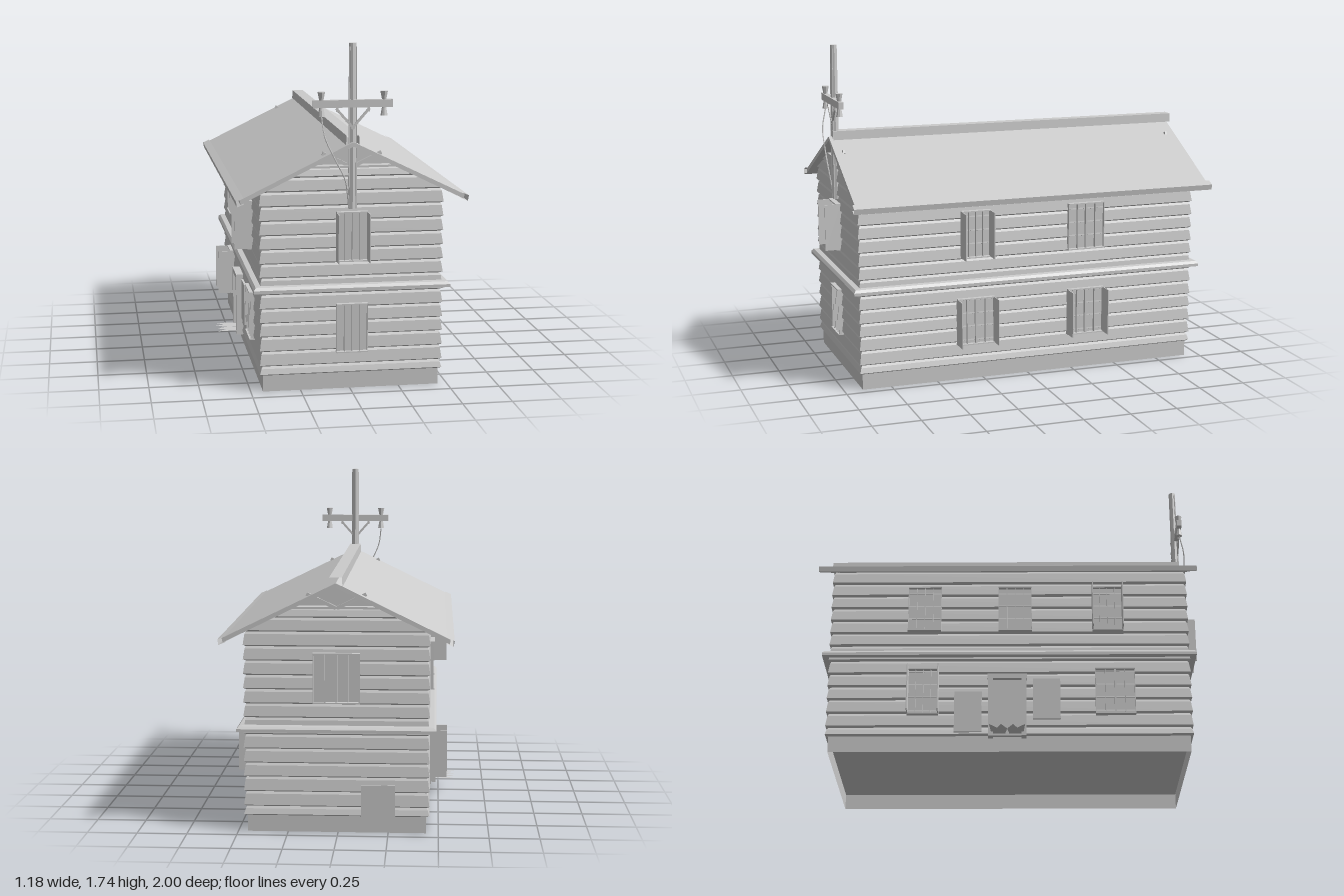
import * as THREE from 'three';

const CX = 0.007, CZ = -0.01;          // centre of the house plan
const HX = 0.448, HZ = 0.916;          // half sizes of the wall core
const ROOF_UNDER = 1.235, SLOPE = 0.488;
const mat = new THREE.MeshStandardMaterial({ color: 0xcccccc, flatShading: true, side: THREE.DoubleSide });

function add(parent, name, geometry, x = 0, y = 0, z = 0) {
  const mesh = new THREE.Mesh(geometry, mat);
  mesh.name = name;
  mesh.position.set(x, y, z);
  parent.add(mesh);
  return mesh;
}
const box = (parent, name, w, h, d, x, y, z) => add(parent, name, new THREE.BoxGeometry(w, h, d), x, y, z);

// Skin between successive rings of [x, y, z] points
function loft(rings, closed) {
  const n = rings[0].length, pos = rings.flat(2), idx = [];
  for (let r = 0; r < rings.length - 1; r++) {
    for (let i = 0; i < (closed ? n : n - 1); i++) {
      const a = r * n + i, b = r * n + (i + 1) % n;
      idx.push(a, b, b + n, a, b + n, a + n);
    }
  }
  const g = new THREE.BufferGeometry();
  g.setAttribute('position', new THREE.Float32BufferAttribute(pos, 3));
  g.setIndex(idx);
  const flat = g.toNonIndexed();
  flat.computeVertexNormals();
  return flat;
}

// Rectangular ring around the house at height y, pushed outward
const ring = (y, out) => [[1, 1], [1, -1], [-1, -1], [-1, 1]]
  .map(([sx, sz]) => [CX + sx * (HX + out), y, CZ + sz * (HZ + out)]).reverse();

// Outline of one overlapping board: drip edge, face, shallow groove
const board = (y0, y1) => [[y0, 0], [y0 + 0.008, 0.014], [y1 - 0.012, 0.006], [y1, 0]];

function addWalls(house) {
  add(house, 'foundation', loft([ring(0, -0.002), ring(0.083, -0.002)], true));
  box(house, 'floor', 2 * HX - 0.006, 0.004, 2 * HZ - 0.006, CX, 0.083, CZ);
  const heights = [0.083, 0.13, 0.205, 0.28, 0.35, 0.422, 0.495, 0.58, 0.65, 0.722, 0.793, 0.865, 0.937, 1.01];
  const rows = [];
  for (let i = 0; i < heights.length - 1; i++) rows.push(...board(heights[i], heights[i + 1]));
  add(house, 'sidingBoards', loft(rows.map(([y, o]) => ring(y, o)), true));
  add(house, 'beltTrim', loft([ring(0.513, 0), ring(0.513, 0.046), ring(0.528, 0.046), ring(0.541, 0.035), ring(0.545, 0)], true));

  // Gable boards narrow with the roof, with a braced opening at the peak
  for (const s of [1, -1]) {
    const gable = new THREE.Group();
    gable.name = s > 0 ? 'frontGable' : 'backGable';
    gable.position.set(CX, 0, CZ);
    gable.rotation.y = s > 0 ? 0 : Math.PI;
    house.add(gable);
    const profile = [...board(1.01, 1.08), ...board(1.08, 1.13)];
    add(gable, 'gableBoards', loft(profile.map(([y, o]) => {
      const w = Math.min(HX + o, (ROOF_UNDER - y) / SLOPE);
      return [[-w, y, HZ + o], [w, y, HZ + o]];
    })));
    const w = (ROOF_UNDER - 1.125) / SLOPE;
    const peak = new THREE.Shape([[-w, 1.125], [w, 1.125], [0, ROOF_UNDER]].map(p => new THREE.Vector2(...p)));
    add(gable, 'gableOpening', new THREE.ShapeGeometry(peak), 0, 0, HZ - 0.04);
    box(gable, 'gableSill', 2 * w, 0.01, 0.05, 0, 1.13, HZ - 0.015);
    for (const k of [1, -1]) {
      const brace = box(gable, 'gableBrace', 0.16, 0.018, 0.012, k * 0.075, 1.163, HZ);
      brace.rotation.z = k * 0.45;
    }
  }
}

function addRoof(house) {
  const pts = [[0, 1.257], [0.56, 0.984], [0.555, 0.962], [0, ROOF_UNDER], [-0.555, 0.962], [-0.56, 0.984]];
  const shape = new THREE.Shape(pts.map(p => new THREE.Vector2(...p)));
  add(house, 'roof', new THREE.ExtrudeGeometry(shape, { depth: 1.935, bevelEnabled: false }), CX, 0, -0.982);
  // Thin folded caps on the ridge and the eaves
  const cap = (name, profile, z0, z1) =>
    add(house, name, loft([z0, z1].map(z => profile.map(([x, y]) => [CX + x, y, z]))));
  cap('ridgeCap', [[-0.034, 1.24], [-0.031, 1.287], [0.031, 1.287], [0.034, 1.24]], -1, 0.935);
  for (const s of [1, -1]) {
    cap('eaveTrim', [[s * 0.542, 0.996], [s * 0.579, 0.98], [s * 0.574, 0.952], [s * 0.54, 0.966]], -1, 0.965);
  }
}

// Window built facing +z: panel, thin frame, upright slats, optional open shutters
function addWindow(house, x, y, z, turn, w, open = 0) {
  const h = 0.245, g = new THREE.Group();
  g.name = open ? 'shutteredWindow' : 'barredWindow';
  g.position.set(x, y, z);
  g.rotation.y = turn;
  house.add(g);
  box(g, 'panel', w, h, 0.02, 0, 0, -0.005);
  for (const s of [1, -1]) box(g, s > 0 ? 'header' : 'sill', w + 0.004, 0.006, 0.03, 0, s * h / 2, 0.012);
  for (let i = 0; i < 5; i++) {
    box(g, 'slat', i === 2 && w > 0.18 ? 0.01 : 0.003, h, 0.022, (i / 4 - 0.5) * w, 0, 0.01);
  }
  if (open) for (const s of [1, -1]) box(g, 'shutter', 0.005, h, open, s * w / 2, 0, open / 2);
}

function addWindows(house) {
  const UP = 0.783, LOW = 0.318, R = Math.PI / 2;
  const xl = CX + HX + 0.008, xr = CX - HX - 0.008, zf = CZ + HZ + 0.009, zb = CZ - HZ - 0.009;
  addWindow(house, CX, UP, zf, 0, 0.155, 0.085);
  addWindow(house, CX, LOW, zf, 0, 0.155);
  addWindow(house, CX, UP, zb, 2 * R, 0.23);
  // left wall
  addWindow(house, xl, UP, 0.295, R, 0.155, 0.094);
  addWindow(house, xl, UP, -0.32, R, 0.2);
  addWindow(house, xl, LOW, 0.295, R, 0.2, 0.094);
  addWindow(house, xl, LOW, -0.32, R, 0.2, 0.094);
  // right wall
  addWindow(house, xr, UP, -0.45, -R, 0.17);
  addWindow(house, xr, UP, 0.02, -R, 0.17);
  addWindow(house, xr, UP, 0.5, -R, 0.155, 0.094);
  addWindow(house, xr, LOW, -0.45, -R, 0.155, 0.094);
  addWindow(house, xr, LOW, 0.53, -R, 0.2);
}

function addDoor(house) {
  const door = new THREE.Group();
  door.name = 'door';
  door.position.set(CX - HX - 0.008, 0, -0.02);
  door.rotation.y = -Math.PI / 2;
  house.add(door);
  box(door, 'doorPanel', 0.16, 0.31, 0.02, 0, 0.235, 0);
  for (const s of [1, -1]) box(door, 'doorPost', 0.025, 0.32, 0.045, s * 0.085, 0.23, 0.015);
  box(door, 'doorLintel', 0.2, 0.025, 0.045, 0, 0.395, 0.015);
  // Boards patched onto the walls
  box(door, 'wallPatch', 0.14, 0.22, 0.012, -0.2, 0.21, 0.006);
  box(door, 'wallPatch', 0.14, 0.22, 0.012, 0.2, 0.28, 0.006);
  box(house, 'backWallPatch', 0.17, 0.16, 0.012, -0.2, 0.165, CZ - HZ - 0.012);
  // Splintered step boards
  for (const [z, k] of [[-0.07, 1], [0.03, -1]]) {
    const s = new THREE.Shape([[-0.46, -0.04], [-0.53, -0.05], [-0.59, -0.02], [-0.54, 0], [-0.59, 0.04], [-0.46, 0.03]]
      .map(([x, y]) => new THREE.Vector2(x, y * k)));
    add(house, 'brokenStep', new THREE.ShapeGeometry(s).rotateX(-Math.PI / 2), 0, 0.09, z);
  }
}

function addPole(house) {
  const pole = new THREE.Group();
  pole.name = 'utilityPole';
  pole.position.set(CX, 0, 0.917);
  house.add(pole);
  add(pole, 'post', new THREE.CylinderGeometry(0.018, 0.02, 0.816, 8), 0, 1.33, 0);
  box(pole, 'crossarm', 0.395, 0.037, 0.026, 0, 1.444, 0.012);
  const spool = [[0, -0.06], [0.018, -0.06], [0.011, -0.02], [0.011, 0.02], [0.019, 0.06], [0, 0.06]]
    .map(p => new THREE.Vector2(...p));
  for (const s of [1, -1]) {
    add(pole, 'insulator', new THREE.LatheGeometry(spool, 8), s * 0.155, 1.443, 0.012);
    const brace = box(pole, 'armBrace', 0.012, 0.135, 0.008, s * 0.038, 1.37, 0.016);
    brace.rotation.z = -s * 0.72;
    box(pole, 'armBraceEnd', 0.012, 0.03, 0.008, s * 0.078, 1.42, 0.016);
  }
  // Cables sagging from the right insulator to the wall, and running down the post
  const cable = pts => add(pole, 'cable', new THREE.TubeGeometry(
    new THREE.CatmullRomCurve3(pts.map(p => new THREE.Vector3(...p))), 20, 0.0035, 5));
  cable([[-0.155, 1.38, 0.014], [-0.14, 1.28, 0.035], [-0.09, 1.17, 0.035], [-0.04, 1.07, 0.03], [-0.018, 0.925, 0.01]]);
  for (const s of [1, -1]) cable([[s * 0.017, 1.72, 0.012], [s * 0.018, 1.3, 0.016], [s * 0.018, 0.925, 0.016]]);
}

export function createModel() {
  const house = new THREE.Group();
  house.name = 'boardedHouse';
  addWalls(house);
  addRoof(house);
  addWindows(house);
  addDoor(house);
  addPole(house);
  return house;
}
